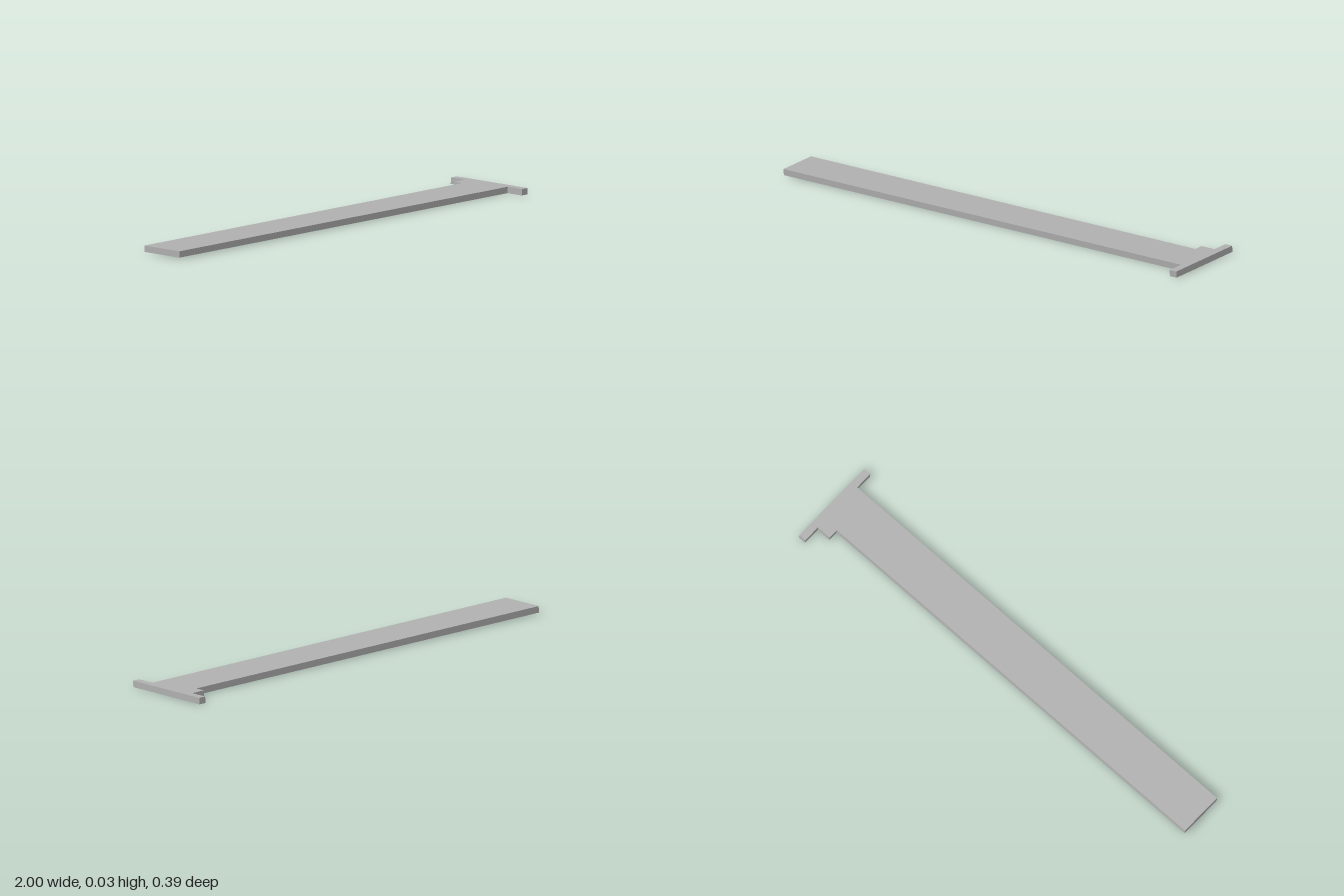
import * as THREE from 'three';

export function createModel() {
  const group = new THREE.Group();
  const grey = new THREE.MeshStandardMaterial({ color: 0xb0b0b0 });
  grey.name = 'grey';

  // Plan outline (x, z): long plank, end crossbar and small corner step
  const outline = [
    [-1, 0.115], [0.967, 0.115], [0.967, 0.193], [1, 0.193],
    [1, -0.193], [0.967, -0.193], [0.967, -0.118], [0.903, -0.118],
    [0.903, -0.075], [-1, -0.075],
  ];
  const shape = new THREE.Shape(outline.map(([x, z]) => new THREE.Vector2(x, -z)));
  const geometry = new THREE.ExtrudeGeometry(shape, { depth: 0.0265, bevelEnabled: false });
  geometry.rotateX(-Math.PI / 2);

  // Slight rise towards the plain end, and a slight lean of the long sides
  const p = geometry.attributes.position;
  for (let i = 0; i < p.count; i++) {
    const x = p.getX(i), y = p.getY(i), z = p.getZ(i);
    p.setXYZ(i, x, y + 0.00275 * (1 - x), z + 0.08 * (y - 0.013));
  }
  geometry.computeVertexNormals();

  const plank = new THREE.Mesh(geometry, grey);
  plank.name = 'plankWithCrossbar';
  group.add(plank);
  return group;
}
